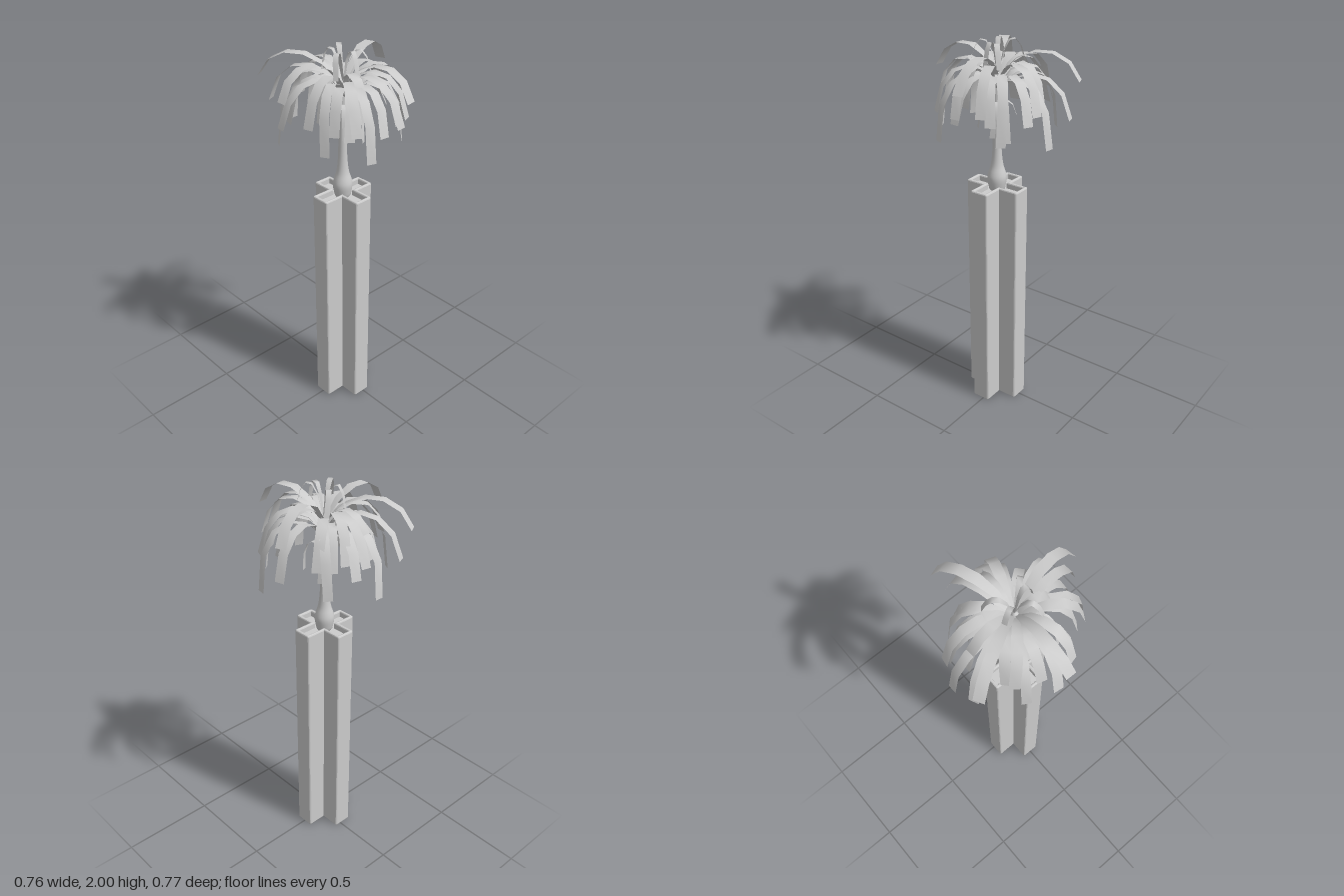
import * as THREE from 'three';

const CX = -0.015; // axis of the pot and trunk
const mat = new THREE.MeshStandardMaterial({ color: 0xcccccc });
const leafMat = new THREE.MeshStandardMaterial({ color: 0xcccccc, side: THREE.DoubleSide });

// points of a plus with its outer corners rounded: a = half arm width, l = half length, r = corner
function plus(a, l, r) {
  const points = [];
  for (let q = 0; q < 4; q++) {
    const arm = [[a, a]];
    for (const s of [1, -1]) {
      for (let k = 0; k <= 3; k++) {
        const t = (s > 0 ? k : 3 - k) * Math.PI / 6;
        arm.push([s * (a - r + r * Math.cos(t)), l - r + r * Math.sin(t)]);
      }
    }
    for (const [x, y] of arm) {
      points.push(new THREE.Vector2(x, y).rotateAround(new THREE.Vector2(), q * Math.PI / 2));
    }
  }
  return points;
}

function upright(shape, y0, y1, bevel) {
  const geo = new THREE.ExtrudeGeometry(shape, {
    depth: y1 - y0 - 2 * bevel, bevelEnabled: bevel > 0, bevelSize: bevel,
    bevelThickness: bevel, bevelOffset: -bevel, bevelSegments: 2,
  });
  geo.rotateX(-Math.PI / 2).translate(CX, y0 + bevel, 0);
  return geo;
}

// leaf tiers: root height, arch height, tip height, half width, height variation, reach of the arch
const tiers = [
  [1.84, 2.01, 1.835, 0.027, 0.005, 0.85], // 0 high and long
  [1.79, 1.93, 1.68, 0.025, 0.035, 0.9],   // 1 middle
  [1.77, 1.92, 1.56, 0.023, 0.015, 1.02],  // 2 drooping
  [1.85, 2.05, 1.89, 0.013, 0, 0.8],       // 3 short, at the top
  [1.7, 1.76, 1.57, 0.013, 0.03, 1],       // 4 inner, hanging by the trunk
];

// tip x, tip z, tier
const leaves = [
  [-0.22, -0.37, 0], [-0.165, -0.36, 1], [-0.015, -0.37, 2], [0.05, -0.345, 1],
  [0.075, -0.31, 1], [0.095, -0.26, 1], [0.18, -0.235, 2], [0.2, -0.18, 1],
  [0.37, -0.135, 0], [0.35, -0.095, 1], [0.26, 0.015, 1], [0.335, 0.06, 2],
  [0.295, 0.11, 1], [0.265, 0.135, 1], [0.15, 0.15, 2], [0.17, 0.22, 2],
  [0.12, 0.235, 1], [0.115, 0.3, 1], [0.05, 0.38, 0], [0.015, 0.36, 1],
  [-0.035, 0.305, 1], [-0.125, 0.315, 2], [-0.175, 0.27, 1], [-0.18, 0.225, 1],
  [-0.25, 0.135, 2], [-0.18, 0.12, 1], [-0.305, 0.085, 1], [-0.38, -0.005, 0],
  [-0.36, -0.045, 1], [-0.285, -0.075, 1], [-0.285, -0.16, 2], [-0.24, -0.195, 1],
  [-0.185, -0.195, 1], [-0.055, -0.1, 3], [-0.01, 0.1, 3], [0.075, 0.1, 3],
  [0.075, -0.11, 3], [-0.12, 0.07, 3], [-0.03, -0.29, 1], [0.07, -0.06, 4],
  [-0.09, -0.05, 4], [0.03, 0.1, 4], [-0.07, 0.08, 4], [-0.18, 0.03, 1],
  [-0.05, -0.2, 1], [-0.05, 0.2, 1], [0.1, -0.18, 1],
];

// a flat strip along an arching curve, widening from its root
function leafGeometry([x, z, tier], i) {
  const [y0, yArch, yTip, half, vary, reach] = tiers[tier];
  const lift = vary * Math.sin(i * 2.7);
  const base = new THREE.Vector3(-0.01, 0, 0);
  const out = new THREE.Vector3(x, 0, z).sub(base);
  const side = new THREE.Vector3(-out.z, 0, out.x).normalize();
  const sway = 0.02 * Math.sin(i * 2.4);
  const at = (f, y, s) => base.clone().addScaledVector(out, f).addScaledVector(side, s).setY(y + lift);
  const curve = new THREE.CubicBezierCurve3(
    at(0.04, y0, 0), at(0.3, yArch, sway), at(reach, yArch, sway), at(1, yTip, 0));
  const n = 5, pos = [], index = [];
  for (let k = 0; k <= n; k++) {
    const t = k / n, p = curve.getPoint(t);
    const w = half * Math.min(1, 0.35 + t * 1.8);
    for (const s of [-w, w]) pos.push(...p.clone().addScaledVector(side, s).toArray());
    const a = 2 * k;
    if (k < n) index.push(a, a + 1, a + 2, a + 1, a + 3, a + 2);
  }
  const geo = new THREE.BufferGeometry();
  geo.setAttribute('position', new THREE.Float32BufferAttribute(pos, 3));
  geo.setIndex(index);
  geo.computeVertexNormals();
  return geo;
}

export function createModel() {
  const model = new THREE.Group();
  const add = (name, geo, material = mat, parent = model) => {
    const mesh = new THREE.Mesh(geo, material);
    mesh.name = name;
    parent.add(mesh);
    return mesh;
  };

  // tall cross-shaped planter with a rounded rim, and the soil inside it
  const wall = new THREE.Shape(plus(0.051, 0.157, 0.01));
  wall.holes.push(new THREE.Path(plus(0.034, 0.14, 0.004).reverse()));
  add('planter', upright(wall, 0, 1.27, 0.007));
  add('soil', upright(new THREE.Shape(plus(0.038, 0.144, 0.004)), 0, 1.238, 0));

  // trunk with a swollen foot
  const profile = [[0, 1.23], [0.035, 1.235], [0.046, 1.27], [0.05, 1.305], [0.044, 1.335],
    [0.033, 1.37], [0.026, 1.42], [0.022, 1.49], [0.021, 1.6], [0.021, 1.75], [0.018, 1.83], [0, 1.85]];
  const spline = new THREE.SplineCurve(profile.map(([r, y]) => new THREE.Vector2(r, y)));
  const points = spline.getPoints(33).map((p) => p.setX(Math.max(0, p.x)));
  add('trunk', new THREE.LatheGeometry(points, 20)).position.x = CX;

  // crown of strap leaves
  const crown = new THREE.Group();
  crown.name = 'crown';
  model.add(crown);
  leaves.forEach((leaf, i) => add('leaf', leafGeometry(leaf, i), leafMat, crown));

  return model;
}
